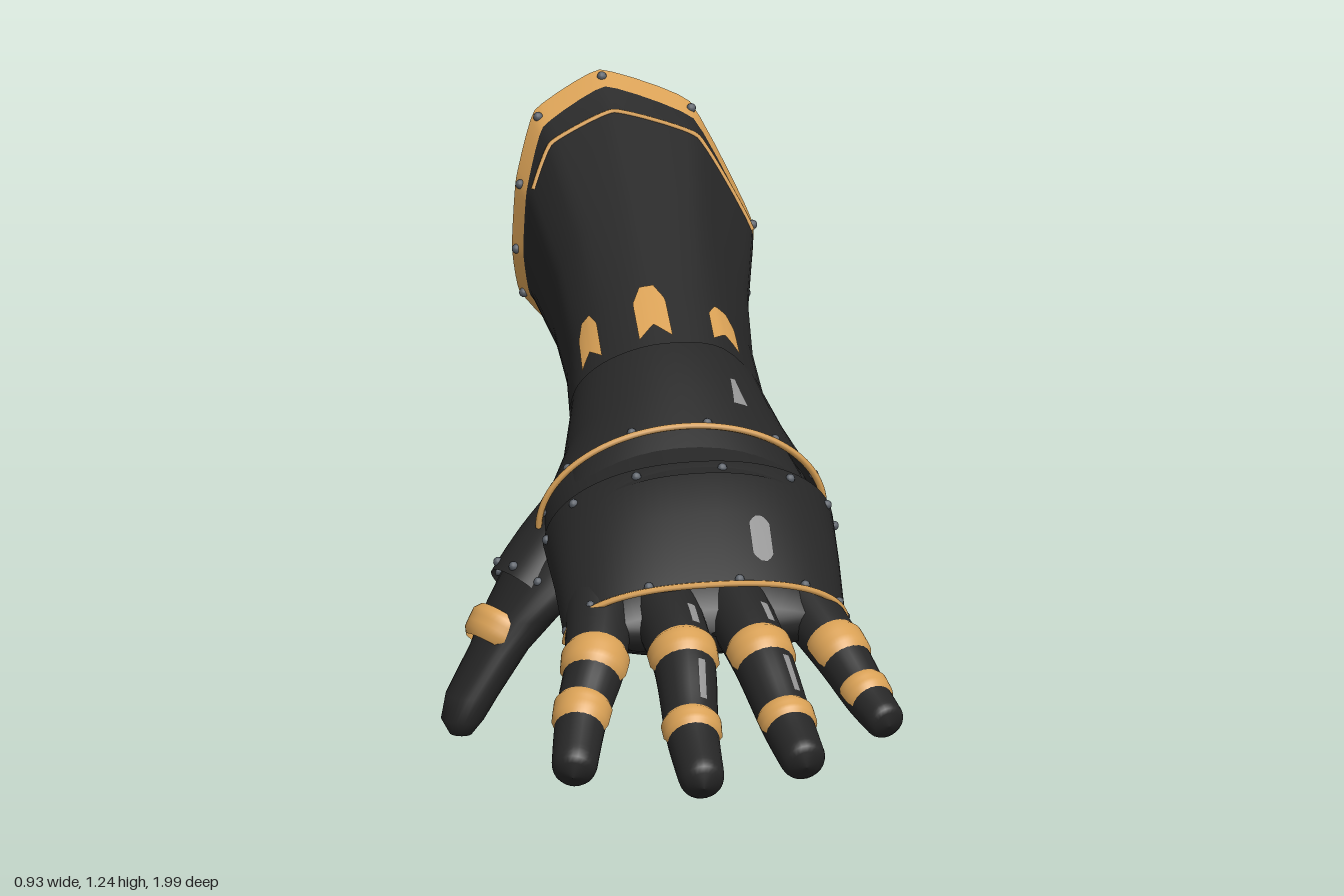
import * as THREE from 'three';

const V = (x, y, z) => new THREE.Vector3(x, y, z);
const mat = (name, color) => {
  const m = new THREE.MeshStandardMaterial({ color, side: THREE.DoubleSide });
  m.name = name;
  return m;
};

// Skin a row of cross-sections (arrays of points)
function loft(sections, closed) {
  const m = sections[0].length, pos = [], idx = [];
  sections.forEach(s => s.forEach(p => pos.push(p.x, p.y, p.z)));
  for (let i = 0; i < sections.length - 1; i++)
    for (let j = 0; j < (closed ? m : m - 1); j++) {
      const k = (j + 1) % m, a = i * m + j, b = i * m + k, c = a + m, d = b + m;
      idx.push(a, c, b, b, c, d);
    }
  const g = new THREE.BufferGeometry();
  g.setAttribute('position', new THREE.Float32BufferAttribute(pos, 3));
  g.setIndex(idx);
  g.computeVertexNormals();
  return g;
}

// Arch or full ring in the hand's cross plane; n above 2 is boxier
function ring(cx, top, z, hw, ry, lean, span, n = 2) {
  const pts = [], closed = span >= Math.PI, count = 40;
  const pw = v => Math.sign(v) * Math.pow(Math.abs(v), 2 / n);
  for (let i = 0; i < (closed ? count : count + 1); i++) {
    const a = -span + 2 * span * i / count, c = 1 - pw(Math.cos(a));
    pts.push(V(cx + hw * pw(Math.sin(a)), top - ry * c, z - lean * c));
  }
  return pts;
}

// Cross-sections along a curve, limited to an angle range
function sweep(curve, radius, t0, t1, n, a0 = -Math.PI, a1 = Math.PI, m = 24) {
  const out = [], full = a1 - a0 > 6.2;
  for (let i = 0; i <= n; i++) {
    const t = t0 + (t1 - t0) * i / n, p = curve.getPoint(t), d = curve.getTangent(t);
    const side = V(0, 1, 0).cross(d).normalize(), up = d.clone().cross(side), s = [];
    for (let j = 0; j < (full ? m : m + 1); j++) {
      const a = a0 + (a1 - a0) * j / m, r = radius(t, i);
      s.push(p.clone().addScaledVector(up, r * Math.cos(a)).addScaledVector(side, r * Math.sin(a)));
    }
    out.push(s);
  }
  return out;
}

// Point on a lofted surface
function surf(sections, u, t, closed) {
  const m = sections[0].length, f = closed ? (((u % 1) + 1) % 1) * m : u * (m - 1);
  const y = Math.min(t, 0.9999) * (sections.length - 1), i = Math.floor(y);
  const j = Math.floor(f) % m, k = (j + 1) % m, w = f - Math.floor(f);
  return sections[i][j].clone().lerp(sections[i][k], w)
    .lerp(sections[i + 1][j].clone().lerp(sections[i + 1][k], w), y - i);
}

// Thin plate hugging a lofted surface, with a width rule and an optional notch
function patch(sections, closed, u0, hw, t0, t1, width, notch = 0) {
  const rows = [];
  for (let i = 0; i <= 12; i++) {
    const row = [];
    for (let j = -4; j <= 4; j++) {
      const r = i / 12, u = u0 + hw * width(r) * j / 4;
      const t = t0 + (t1 - t0) * Math.min(r, 1 - notch * (1 - Math.abs(j) / 4));
      const p = surf(sections, u, t, closed), e = 0.01;
      const du = surf(sections, u + e, t, closed).sub(surf(sections, u - e, t, closed));
      const dt = surf(sections, u, t + e, closed).sub(surf(sections, u, t - e, closed));
      row.push(p.addScaledVector(dt.cross(du).normalize(), 0.006));
    }
    rows.push(row);
  }
  return loft(rows, false);
}

export function createModel() {
  const group = new THREE.Group();
  const black = mat('blackLeather', 0x262626), gold = mat('gold', 0xd8a055);
  const silver = mat('silver', 0x909090), steel = mat('rivetSteel', 0x5a6068);
  const add = (name, geo, m) => {
    const mesh = new THREE.Mesh(geo, m);
    mesh.name = name;
    group.add(mesh);
    return mesh;
  };
  const rivetGeo = new THREE.SphereGeometry(0.011, 10, 8);
  const rivet = p => add('rivet', rivetGeo, steel).position.copy(p);
  const trim = (name, pts, r = 0.008) =>
    add(name, new THREE.TubeGeometry(new THREE.CatmullRomCurve3(pts), 80, r, 6), gold);

  // Flared cuff: pointed rim, narrowing to an oval wrist opening
  const rim = [[0.16, 1.245, -0.99], [0.35, 1.18, -0.91], [0.46, 0.93, -0.76], [0.445, 0.77, -0.76],
    [0.36, 0.67, -0.8], [0.2, 0.63, -0.82], [0.04, 0.67, -0.84], [-0.06, 0.78, -0.845],
    [-0.075, 0.88, -0.855], [-0.06, 1.03, -0.88], [0, 1.17, -0.95]].map(p => V(...p));
  const crown = p => Math.max(0, (p.y - 0.9) / 0.35);
  const shoulder = rim.map(p => V(0.19 + (p.x - 0.19) * 0.94,
    0.92 + (p.y - 0.92) * (p.y > 0.92 ? 0.8 : 0.99), p.z + 0.06 + 0.07 * crown(p)));
  const bandEdge = rim.map((p, i) => p.clone().lerp(shoulder[i], 0.87 - 0.47 * crown(p)));
  const wrist = rim.map(p => {
    const a = Math.atan2(p.x - 0.19, p.y - 0.93), c = Math.cos(a);
    return V(0.125 + 0.225 * Math.sin(a), 0.675 + 0.15 * c, -0.19 + 0.06 * c);
  });
  const between = (k, pinch) => shoulder.map((p, i) => {
    const q = p.clone().lerp(wrist[i], k), cx = 0.19 - 0.065 * k;
    q.x = cx + (q.x - cx) * pinch;
    return q;
  });
  const smooth = (pts, tension) => {
    const c = new THREE.CatmullRomCurve3(pts, true, 'catmullrom', tension);
    return Array.from({ length: 55 }, (_, i) => c.getPoint(i / 55));
  };
  const cuff = [smooth(rim, 0.2), smooth(bandEdge, 0.2), smooth(shoulder, 0.2),
    smooth(between(0.4, 0.91), 0.35), smooth(between(0.75, 0.92), 0.45), smooth(wrist, 0.5)];
  add('cuff', loft(cuff.slice(1), true), black);
  const inward = p => V(0.19 + (p.x - 0.19) * 0.985, 0.92 + (p.y - 0.92) * 0.985, p.z);
  const liningEdge = cuff[0].map((p, i) => p.clone().lerp(cuff[1][i], 0.22));
  add('cuffLining', loft([liningEdge.map(inward), cuff[1].map(inward)], true), black);
  add('cuffRimBand', loft([cuff[0], cuff[1]], true), gold);
  trim('cuffShoulderTrim', cuff[2].slice(-9).concat(cuff[2].slice(0, 11)), 0.006);
  rim.forEach((p, i) => rivet(p.clone().lerp(bandEdge[i], 0.4)));

  // Pointed gold plates at the wrist end of the cuff
  for (const [u, hw, t] of [[-0.132, 0.026, 0.81], [-0.01, 0.026, 0.805], [0.096, 0.022, 0.85]])
    add('wristPoint', patch(cuff, true, u, hw, t, 0.98, r => Math.min(1, 0.45 + r * 2), 0.25), gold);

  // Glove body
  add('gloveBody', loft([
    [0.14, 0.86, -0.32, 0.17, 0.13, 0.04], [0.125, 0.8, -0.15, 0.2, 0.135, 0.05],
    [0.11, 0.735, 0, 0.24, 0.155, 0.05], [0.1, 0.63, 0.15, 0.3, 0.155, 0.04],
    [0.08, 0.555, 0.28, 0.31, 0.137, 0.03], [0.065, 0.42, 0.46, 0.295, 0.09, 0.02],
    [0.07, 0.37, 0.52, 0.25, 0.05, 0], [0.07, 0.32, 0.53, 0.01, 0.005, 0]
  ].map(s => ring(...s, Math.PI, 2.2)), true), black);

  // Thumb with its broad root: level ovals given as x, y, z, half width, half depth
  const ovals = [[0.03, 0.6, -0.02, 0.12, 0.13], [-0.02, 0.53, -0.015, 0.16, 0.16], [-0.085, 0.45, 0, 0.15, 0.16],
    [-0.185, 0.35, 0.025, 0.115, 0.15], [-0.27, 0.27, 0.057, 0.085, 0.11], [-0.325, 0.2, 0.08, 0.066, 0.085],
    [-0.395, 0.1, 0.107, 0.06, 0.066], [-0.42, 0.045, 0.115, 0.048, 0.056], [-0.425, 0.012, 0.12, 0.025, 0.03],
    [-0.425, 0.005, 0.12, 0.001, 0.001]];
  add('thumb', loft(ovals.map(([x, y, z, rx, rz]) => Array.from({ length: 32 }, (_, i) => {
    const a = i / 16 * Math.PI;
    return V(x + rx * Math.cos(a), y, z - rz * Math.sin(a));
  })), true), black);

  // Overlapping plates on the wrist and the back of the hand
  const wristPlate = [ring(0.125, 0.818, -0.15, 0.217, 0.15, 0.055, 2), ring(0.115, 0.75, -0.01, 0.262, 0.18, 0.05, 1.8),
    ring(0.1, 0.69, 0.1, 0.33, 0.22, 0.04, 1.6)];
  add('wristPlate', loft([ring(0.13, 0.865, -0.28, 0.185, 0.14, 0.055, 2), ...wristPlate], false), black);
  trim('wristPlateTrim', wristPlate[2]);
  add('middlePlate', loft([ring(0.1, 0.665, 0.06, 0.315, 0.21, 0.04, 1.6, 2.1),
    ring(0.095, 0.615, 0.24, 0.325, 0.2, 0.06, 1.6, 2.2)], false), black);
  const handPlate = [ring(0.098, 0.605, 0.19, 0.31, 0.18, 0.06, 1.57, 2.2), ring(0.098, 0.632, 0.195, 0.336, 0.19, 0.06, 1.57, 2.2),
    ring(0.08, 0.55, 0.35, 0.33, 0.17, 0.05, 1.57, 2.3), ring(0.06, 0.427, 0.515, 0.325, 0.13, 0.05, 1.57, 2.4)];
  add('handPlate', loft(handPlate, false), black);
  trim('handPlateTrim', handPlate[3]);
  for (const u of [0.04, 0.2, 0.38, 0.55, 0.72, 0.88, 0.97]) {
    rivet(surf(wristPlate, u, 0.96));
    rivet(surf(handPlate, u, 0.38));
    rivet(surf(handPlate, u, 0.98));
  }
  const oval = r => Math.min(1, 0.3 + 5 * Math.min(r, 1 - r));
  add('wristInlay', patch(wristPlate, false, 0.645, 0.02, 0.34, 0.66, r => 0.4 + 0.6 * r), silver);
  add('handInlay', patch(handPlate, false, 0.61, 0.025, 0.68, 0.9, oval), silver);

  // Gold arch over a joint
  const band = (name, curve, base, t, h) => add(name, loft(
    sweep(curve, (s, i) => base(s) * (i % 5 ? 1.12 : 0.99), t - h, t + h, 5, -1.55, 1.55), false), gold);

  // Fingers: base, two joints, tip, then base and tip radius
  const fingers = [
    ['indexFinger', [[-0.17, 0.36, 0.4], [-0.225, 0.265, 0.58], [-0.28, 0.185, 0.69], [-0.34, 0.085, 0.855]], 0.078, 0.05],
    ['middleFinger', [[-0.03, 0.37, 0.4], [-0.03, 0.285, 0.63], [-0.055, 0.165, 0.82], [-0.07, 0.08, 1]], 0.082, 0.05],
    ['ringFinger', [[0.13, 0.37, 0.4], [0.15, 0.28, 0.63], [0.168, 0.17, 0.81], [0.178, 0.105, 0.96]], 0.078, 0.05],
    ['littleFinger', [[0.295, 0.35, 0.4], [0.345, 0.265, 0.58], [0.378, 0.195, 0.7], [0.405, 0.15, 0.81]], 0.07, 0.043]
  ];
  for (const [name, path, r0, r1] of fingers) {
    const pts = path.map(p => V(...p)), curve = new THREE.CatmullRomCurve3(pts);
    const base = t => r0 + (r1 - r0) * t;
    const skin = t => base(t) * Math.sqrt(Math.max(0, 1 - Math.max(0, (t - 0.91) / 0.09) ** 3));
    add(name, loft(sweep(curve, skin, 0, 1, 50), true), black);
    for (const t of [1 / 3, 2 / 3]) band(name + 'Band', curve, base, t, 0.0115 / pts[1].distanceTo(pts[2]));
    // Slim silver inlays along the two long fingers
    if (name === 'middleFinger' || name === 'ringFinger')
      for (const [a, b] of [[0.18, 0.27], [0.42, 0.59]])
        add(name + 'Inlay', loft(sweep(curve, t => base(t) + 0.004, a, b, 5, 0.3, 0.58, 4), false), silver);
  }

  // Thumb band and riveted guard over the thumb root
  const thumbCurve = new THREE.CatmullRomCurve3([V(0, 0.5, -0.04), V(-0.18, 0.37, 0.02), V(-0.335, 0.2, 0.08), V(-0.435, 0.015, 0.12)]);
  const thumbRadius = t => 0.125 - 0.078 * t;
  band('thumbBand', thumbCurve, thumbRadius, 0.63, 0.05);
  const guard = sweep(thumbCurve, t => thumbRadius(t) + 0.014, 0.1, 0.48, 10, -1.4, 1.2);
  add('thumbGuard', loft(guard, false), black);
  for (const u of [0.1, 0.37, 0.63, 0.9]) rivet(surf(guard, u, 0.93));
  return group;
}
